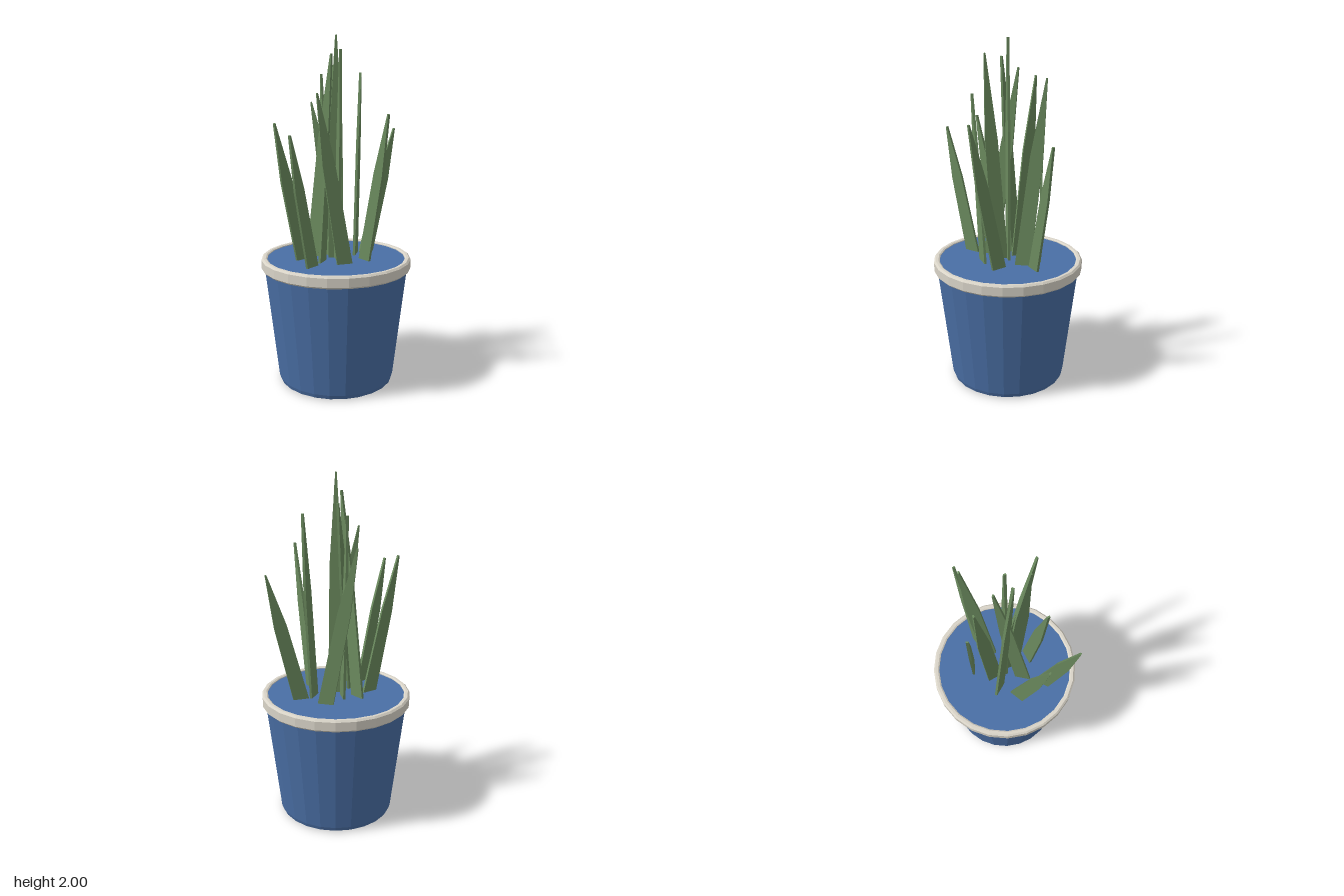
import * as THREE from 'three';

const SIDES = 24;
const SOIL_Y = 0.74;
const blue = new THREE.MeshStandardMaterial({ color: 0x4a6fa5, flatShading: true });
const cream = new THREE.MeshStandardMaterial({ color: 0xd9d4c8, flatShading: true });
const green = new THREE.MeshStandardMaterial({ color: 0x6b8a5e, flatShading: true });

function lathe(name, profile, material) {
  const points = profile.map(([r, y]) => new THREE.Vector2(r, y));
  const mesh = new THREE.Mesh(new THREE.LatheGeometry(points, SIDES), material);
  mesh.name = name;
  return mesh;
}

// Flat tapering leaf in a vertical plane, leaning from its inner base corner to its tip
function leaf(x0, z0, x1, z1, tipY) {
  const halfBase = 0.045, thick = 0.014;
  const reach = Math.hypot(x1 - x0, z1 - z0) - halfBase;
  const height = tipY - SOIL_Y;
  const length = Math.hypot(reach, height);
  const shape = new THREE.Shape();
  shape.moveTo(-halfBase, -0.03);
  shape.lineTo(halfBase, -0.03);
  shape.lineTo(0.036, length * 0.6);
  shape.lineTo(0.004, length);
  shape.lineTo(-0.004, length);
  shape.lineTo(-0.036, length * 0.6);
  shape.closePath();
  const geometry = new THREE.ExtrudeGeometry(shape, { depth: thick, bevelEnabled: false });
  geometry.translate(0, 0, -thick / 2);
  geometry.rotateZ(-Math.atan2(reach, height));
  geometry.translate(halfBase, 0, 0);
  geometry.rotateY(-Math.atan2(z1 - z0, x1 - x0));
  const mesh = new THREE.Mesh(geometry, green);
  mesh.position.set(x0, SOIL_Y, z0);
  mesh.name = 'leaf';
  return mesh;
}

export function createModel() {
  const group = new THREE.Group();
  group.name = 'pottedPlant';

  // Solid tapered pot with a small chamfer at the foot and a closed top
  group.add(lathe('pot', [
    [0, 0], [0.32, 0], [0.333, 0.008], [0.34, 0.03],
    [0.417, 0.7], [0.41, SOIL_Y], [0, SOIL_Y],
  ], blue));

  // Rim band with softened edges
  group.add(lathe('rim', [
    [0.4, 0.68], [0.425, 0.68], [0.435, 0.69], [0.435, 0.74],
    [0.425, 0.75], [0.41, 0.75], [0.402, 0.745], [0.4, 0.68],
  ], cream));

  // Leaves: inner base corner x, z, then tip x, z and tip height
  const leaves = new THREE.Group();
  leaves.name = 'leaves';
  const data = [
    [-0.045, 0, 0, 0, 2.0],
    [-0.005, 0, 0.005, 0.128, 1.92],
    [-0.155, -0.105, -0.03, 0.03, 1.9],
    [-0.115, 0.125, -0.01, -0.06, 1.84],
    [-0.03, -0.03, -0.06, -0.17, 1.79],
    [0.11, 0.02, 0.172, -0.175, 1.8],
    [0.07, 0.145, -0.13, 0.18, 1.69],
    [0.1, -0.17, -0.113, -0.225, 1.63],
    [0.133, 0.042, 0.243, 0.253, 1.58],
    [-0.16, -0.01, -0.355, 0.12, 1.53],
    [0.157, -0.096, 0.375, -0.163, 1.475],
    [-0.13, 0.155, -0.29, 0.308, 1.48],
  ];
  // The right-hand dark leaf starts on the near side of the centre line
  data[5][1] = -0.02;
  for (const d of data) leaves.add(leaf(...d));
  group.add(leaves);

  return group;
}
